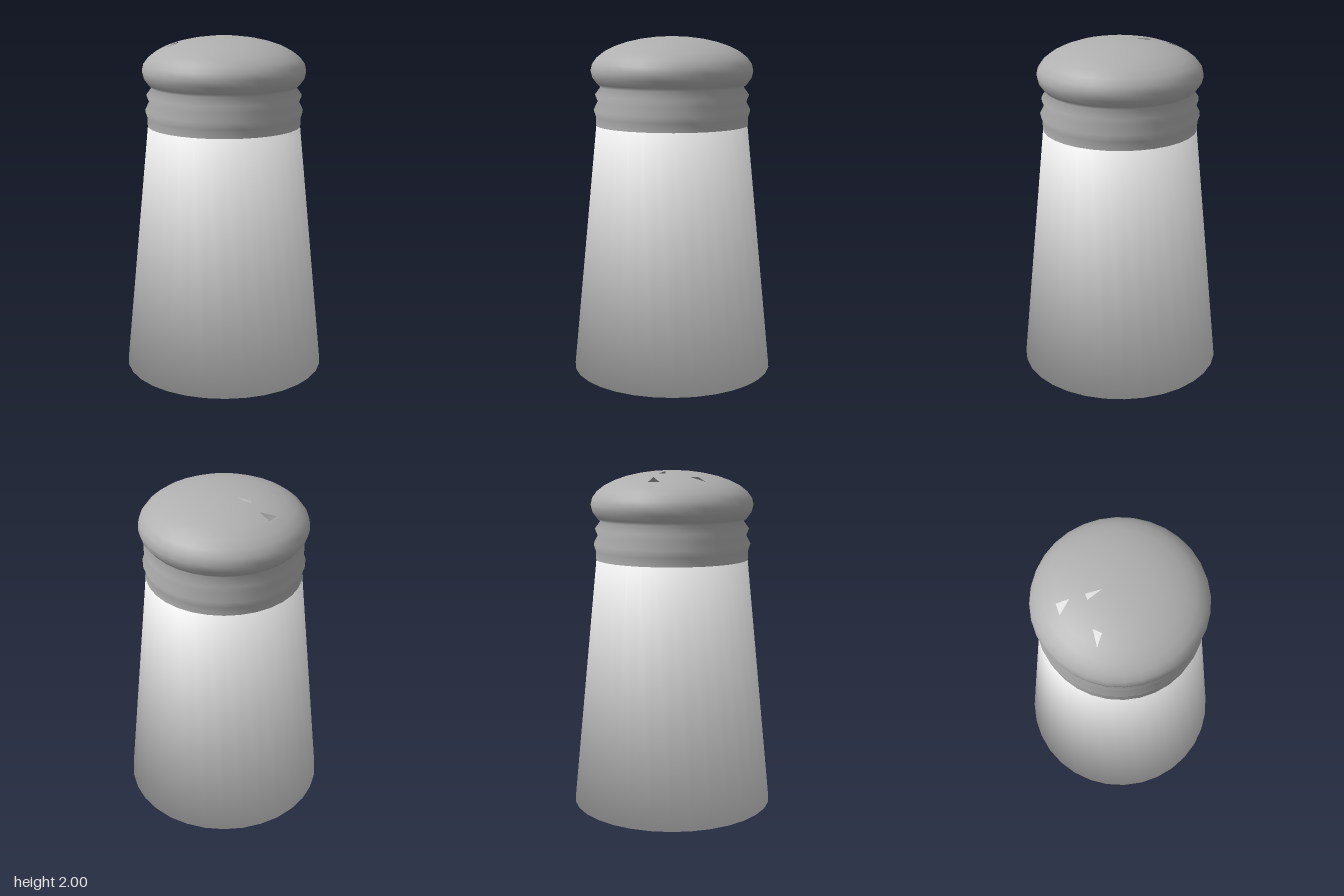
import * as THREE from 'three';

const SIDES = 32;

// Revolves a bottom-to-top profile of [radius, y]; normals blend evenly across each profile corner
function revolve(profile) {
  const geo = new THREE.LatheGeometry(profile.map(([r, y]) => new THREE.Vector2(r, y)), SIDES);
  const n = profile.length;
  const edges = profile.slice(1).map(([r, y], j) =>
    new THREE.Vector2(y - profile[j][1], profile[j][0] - r).normalize());
  const normal = geo.attributes.normal;
  for (let i = 0; i <= SIDES; i++) {
    const phi = (i / SIDES) * Math.PI * 2;
    for (let j = 0; j < n; j++) {
      const v = new THREE.Vector2();
      if (j > 0) v.add(edges[j - 1]);
      if (j < n - 1) v.add(edges[j]);
      if (profile[j][0] === 0) v.x = 0;
      v.normalize();
      normal.setXYZ(i * n + j, v.x * Math.sin(phi), v.y, v.x * Math.cos(phi));
    }
  }
  return geo;
}

export function createModel() {
  const group = new THREE.Group();
  group.name = 'shaker';
  const bodyMaterial = new THREE.MeshStandardMaterial({ color: 0xe6e6e6 });
  bodyMaterial.name = 'pale body';
  const capMaterial = new THREE.MeshStandardMaterial({ color: 0xb0b0b0, side: THREE.DoubleSide });
  capMaterial.name = 'grey cap';

  // Tapered closed body
  const body = new THREE.Mesh(revolve([[0, 0], [0.6, 0], [0.45, 1.48], [0, 1.48]]), bodyMaterial);
  body.name = 'body';
  group.add(body);

  // Cap: ridged collar, then a squashed dome from its underside to the pole
  const profile = [[0.452, 1.48], [0.452, 1.53], [0.465, 1.57], [0.44, 1.62], [0.456, 1.66], [0.423, 1.705]];
  for (let k = 10; k >= 0; k--) {
    const a = (k * Math.PI) / 16;
    profile.push([k ? 0.48 * Math.sin(a) : 0, 1.8 + 0.2 * Math.cos(a)]);
  }
  const capGeometry = revolve(profile);

  // Pouring holes: single triangles left out of the dome [side, rings from pole, half of quad]
  const bands = profile.length - 1;
  const holes = [[16, 4, 0], [16, 2, 0], [20, 4, 1]].map(
    ([side, ring, half]) => (side * bands + bands - ring) * 2 + half);
  const index = Array.from(capGeometry.index.array);
  capGeometry.setIndex(index.filter((_, i) => !holes.includes(Math.floor(i / 3))));

  const cap = new THREE.Mesh(capGeometry, capMaterial);
  cap.name = 'cap';
  group.add(cap);
  return group;
}
